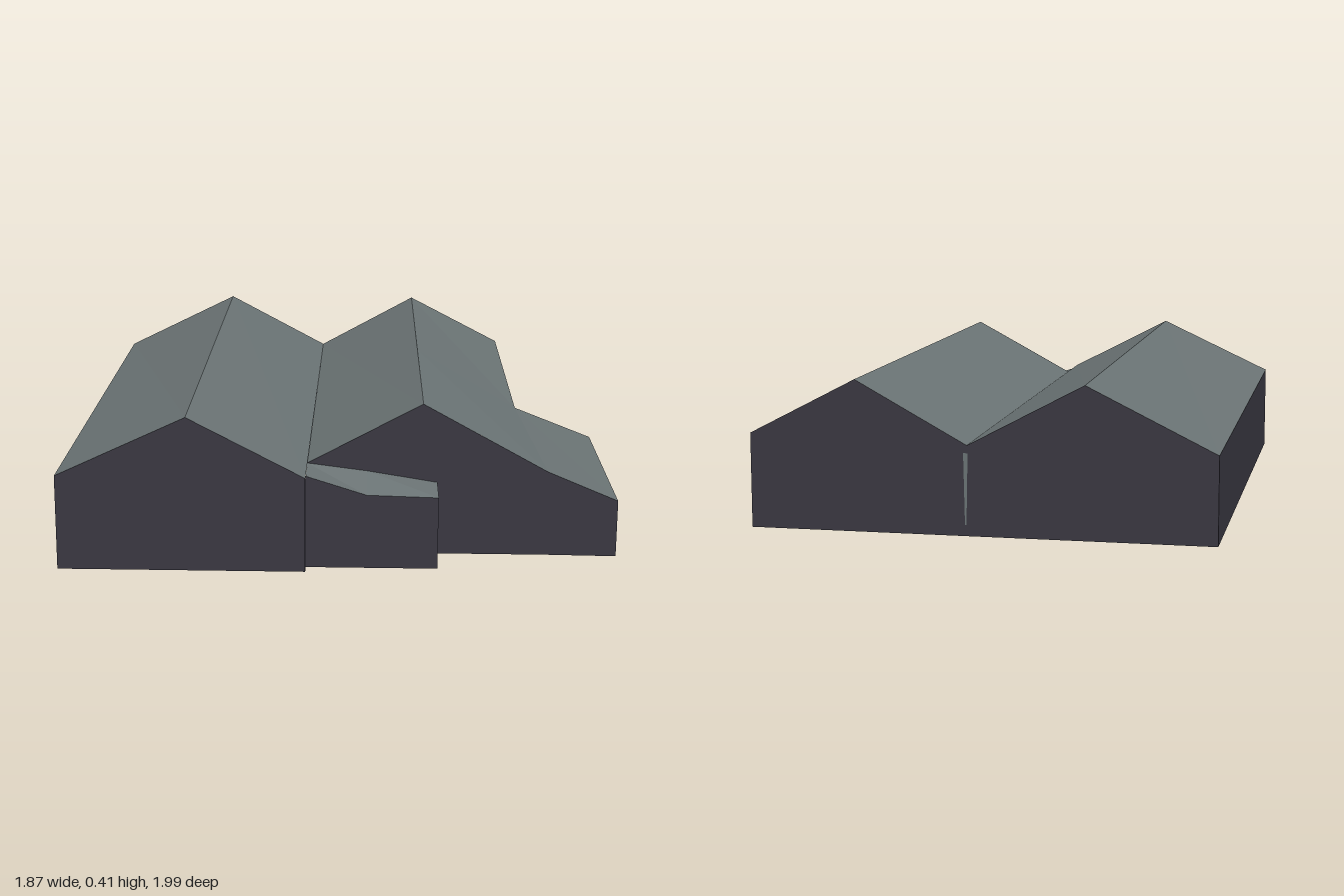
import * as THREE from 'three';

const roofMat = new THREE.MeshStandardMaterial({ color: 0x6b7475, side: THREE.DoubleSide });
roofMat.name = 'slate roof';
const wallMat = new THREE.MeshStandardMaterial({ color: 0x3a3842, side: THREE.DoubleSide });
wallMat.name = 'dark wall';

// Flat-shaded ruled surface between two polylines of equal length
function strip(name, material, a, b) {
  const pos = [];
  for (let i = 0; i < a.length - 1; i++) {
    pos.push(...a[i], ...b[i], ...b[i + 1], ...a[i], ...b[i + 1], ...a[i + 1]);
  }
  const geometry = new THREE.BufferGeometry();
  geometry.setAttribute('position', new THREE.Float32BufferAttribute(pos, 3));
  geometry.computeVertexNormals();
  const mesh = new THREE.Mesh(geometry, material);
  mesh.name = name;
  return mesh;
}

// Wall from the ground up to a top line
const wall = (name, top) => strip(name, wallMat, top.map(([x, , z]) => [x, 0, z]), top);

export function createModel() {
  const model = new THREE.Group();
  model.name = 'twinGableBuilding';
  const hall = new THREE.Group();
  hall.name = 'building';
  hall.rotation.y = -0.512;
  hall.position.set(-0.155, 0, -1);
  model.add(hall);

  // Key roof lines: x across the gables, z along the ridges
  const back = [[0, 0.235, 0], [0.345, 0.405, 0], [0.655, 0.24, 0], [0.956, 0.405, 0], [1.245, 0.255, 0]];
  const frontA = [[0, 0.255, 1.605], [0.343, 0.415, 1.605], [0.651, 0.255, 1.605]];
  const valley = [0.651, 0.25, 1.45];
  const ridge = [0.957, 0.415, 1.45];
  const kink = [1.29, 0.232, 1.45];
  const inner = [1.252, 0.232, 0.797];
  const leanBack = [1.477, 0.145, 0.803];
  const leanFront = [1.477, 0.155, 1.455];

  // Roofs
  hall.add(strip('leftGableRoof', roofMat, back.slice(0, 3), frontA));
  hall.add(strip('rightGableInnerSlope', roofMat, back.slice(2, 4), [valley, ridge]));
  hall.add(strip('rightGableOuterSlope', roofMat,
    [back[3], [0.956, 0.41, 0.797], ridge], [back[4], inner, kink]));
  hall.add(strip('sideExtensionRoof', roofMat, [inner, kink], [leanBack, leanFront]));

  // Main walls
  hall.add(wall('backWall', back));
  hall.add(wall('leftWall', [back[0], frontA[0]]));
  hall.add(wall('leftGableFront', frontA));
  hall.add(wall('rightWall', [back[4], inner]));
  hall.add(wall('extensionBackWall', [inner, leanBack]));
  hall.add(wall('extensionSideWall', [leanBack, leanFront]));

  // Porch tucked between the two gables
  const porchBack = [valley, [0.81, 0.23, 1.45], [0.997, 0.2, 1.45]];
  const porchFront = [[0.651, 0.25, 1.569], [0.81, 0.2, 1.569], [0.997, 0.195, 1.569]];
  hall.add(strip('porchRoof', roofMat, porchBack, porchFront));
  hall.add(wall('porchFrontWall', porchFront));
  hall.add(wall('porchSideWall', [porchBack[2], porchFront[2]]));
  hall.add(wall('gableReturnWall', [frontA[2], porchFront[0]]));

  // Right gable front: above the porch, then down to the ground
  const seam = [0.997, 0.393, 1.45];
  hall.add(strip('gableAbovePorch', wallMat,
    [valley, porchBack[1], [0.957, 0.206, 1.45], porchBack[2]],
    [valley, [0.81, 0.336, 1.45], ridge, seam]));
  hall.add(wall('rightGableFront', [seam, kink, leanFront]));

  // Narrow flashing below the back valley
  hall.add(strip('valleyFlashing', roofMat,
    [[0.652, 0.22, -0.003], [0.664, 0.22, -0.003]], [[0.656, 0.03, -0.003], [0.66, 0.03, -0.003]]));

  return model;
}
